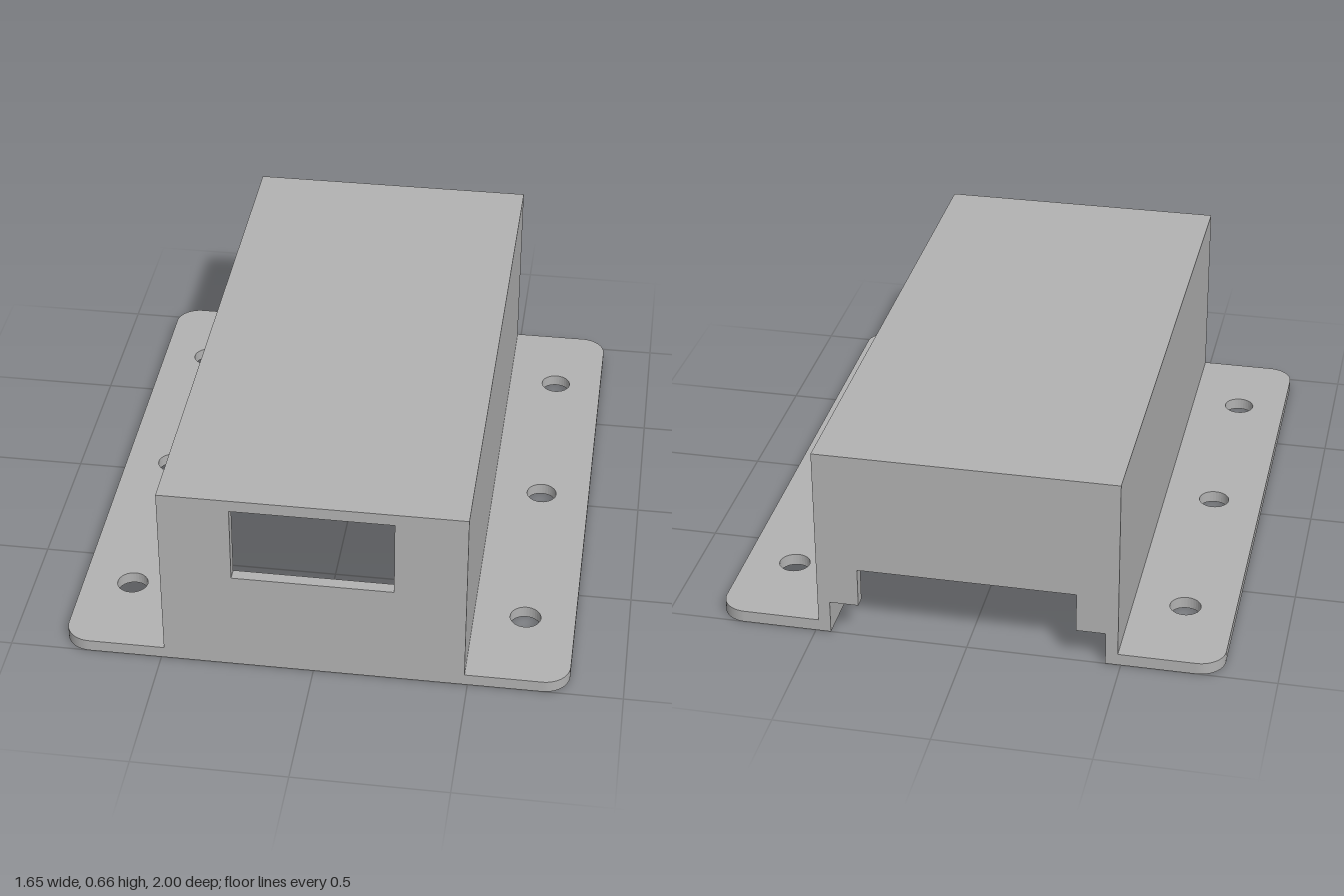
import * as THREE from 'three';

const W = 0.49, IN = 0.45, H = 0.66, CEIL = 0.62, T = 0.04; // housing outer, inner, heights, wall
const PX = 0.825, R = 0.085; // flange half width and corner radius

function polygon(points) {
  return new THREE.Shape(points.map(([x, y]) => new THREE.Vector2(x, y)));
}

export function createModel() {
  const group = new THREE.Group();
  const grey = new THREE.MeshStandardMaterial({ color: 0xb2b2b2 });
  grey.name = 'grey plastic';

  // Extrude a front-facing profile between two z values
  function addProfile(name, shape, z0, z1) {
    const geo = new THREE.ExtrudeGeometry(shape, { depth: z1 - z0, bevelEnabled: false });
    geo.translate(0, 0, z0);
    const mesh = new THREE.Mesh(geo, grey);
    mesh.name = name;
    group.add(mesh);
  }

  // Mounting flange: U-shaped in plan, open at the back, with six screw holes
  const flange = new THREE.Shape();
  flange.moveTo(IN, -1);
  flange.lineTo(PX - R, -1);
  flange.absarc(PX - R, -1 + R, R, -Math.PI / 2, 0, false);
  flange.absarc(PX - R, 1 - R, R, 0, Math.PI / 2, false);
  flange.absarc(-PX + R, 1 - R, R, Math.PI / 2, Math.PI, false);
  flange.absarc(-PX + R, -1 + R, R, Math.PI, Math.PI * 1.5, false);
  flange.lineTo(-IN, -1);
  flange.lineTo(-IN, 1 - T);
  flange.lineTo(IN, 1 - T);
  flange.closePath();
  for (const x of [-0.66, 0.66]) {
    for (const z of [-0.685, 0, 0.685]) {
      flange.holes.push(new THREE.Path().absarc(x, z, 0.051, 0, Math.PI * 2, true));
    }
  }
  const flangeGeo = new THREE.ExtrudeGeometry(flange, { depth: T, bevelEnabled: false, curveSegments: 16 });
  flangeGeo.rotateX(Math.PI / 2).translate(0, T, 0);
  const flangeMesh = new THREE.Mesh(flangeGeo, grey);
  flangeMesh.name = 'mountingFlange';
  group.add(flangeMesh);

  // Side walls and roof
  addProfile('housingShell', polygon([
    [-W, T], [-IN, T], [-IN, CEIL], [IN, CEIL], [IN, T], [W, T], [W, H], [-W, H],
  ]), -1 + T, 1 - T);

  // Front wall with display window
  const front = polygon([[-W, T], [W, T], [W, H], [-W, H]]);
  front.holes.push(polygon([[-0.26, 0.355], [-0.26, CEIL], [0.26, CEIL], [0.26, 0.355]]));
  addProfile('frontWall', front, 1 - T, 1);

  // Back wall with stepped opening
  addProfile('backWall', polygon([
    [-W, T], [-IN, T], [-IN, 0.113], [-0.355, 0.113], [-0.355, 0.247],
    [0.355, 0.247], [0.355, 0.113], [IN, 0.113], [IN, T], [W, T], [W, H], [-W, H],
  ]), -1, -1 + T);

  return group;
}
